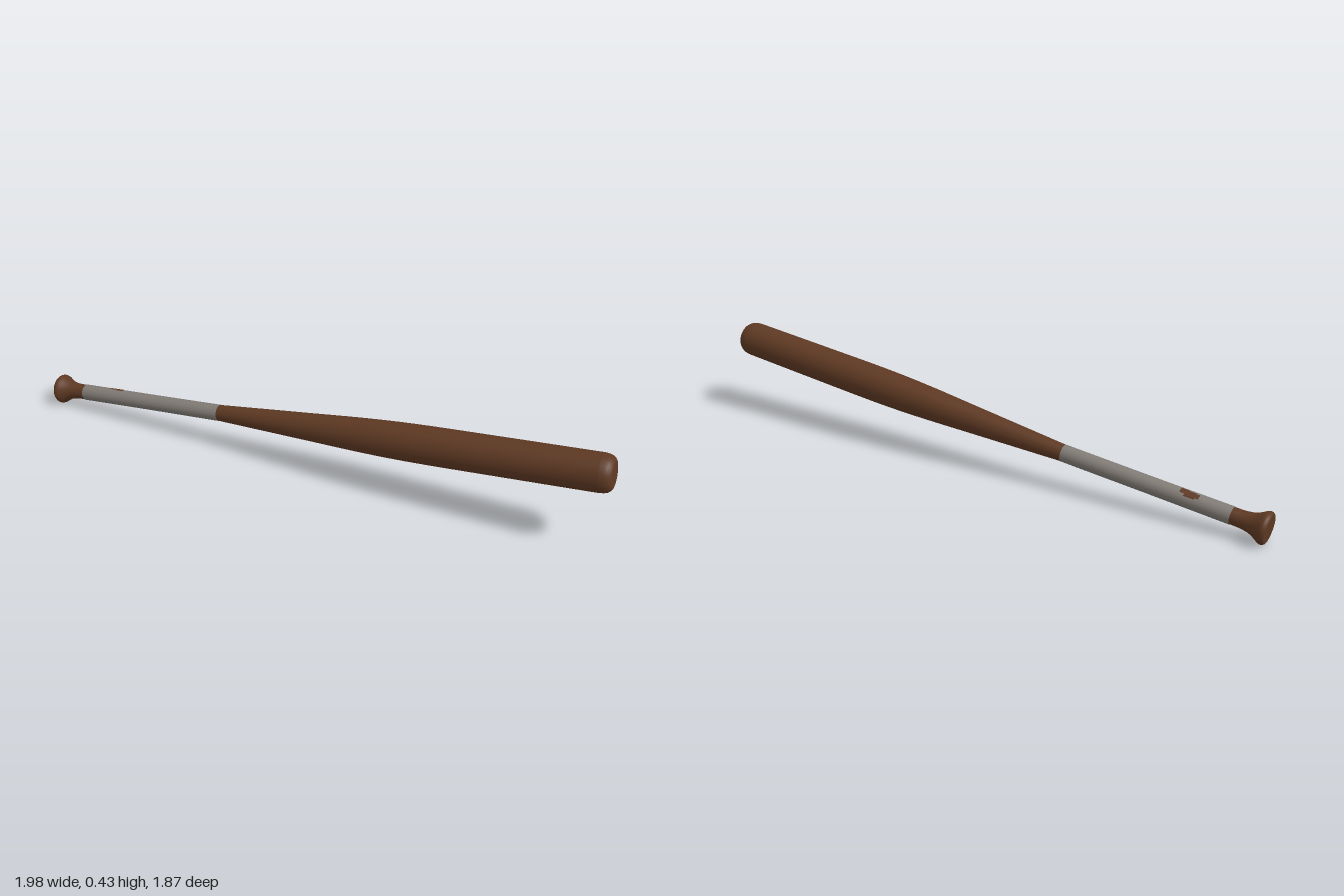
import * as THREE from 'three';

const SIDES = 40;

// Turned surface: pairs of [distance along the axis, radius]
function turned(name, profile, material, phiStart = 0, phiLength = Math.PI * 2) {
  const points = profile.map(([s, r]) => new THREE.Vector2(r, s));
  const sides = Math.max(6, Math.round(SIDES * phiLength / (Math.PI * 2)));
  const mesh = new THREE.Mesh(new THREE.LatheGeometry(points, sides, phiStart, phiLength), material);
  mesh.name = name;
  return mesh;
}

export function createModel() {
  const wood = new THREE.MeshStandardMaterial({ color: 0x5e3923 });
  wood.name = 'brown wood';
  const tape = new THREE.MeshStandardMaterial({ color: 0x827c76 });
  tape.name = 'grey tape';

  const bat = new THREE.Group();
  bat.name = 'bat';

  // Knob: flat base, thin rounded rim and a flare into the handle
  bat.add(turned('knob', [
    [0, 0], [0, 0.056], [0.002, 0.061], [0.009, 0.066], [0.018, 0.067], [0.027, 0.064],
    [0.038, 0.057], [0.055, 0.047], [0.075, 0.04], [0.1, 0.036], [0.12, 0.035],
  ], wood));

  // Handle core, running under the tape
  bat.add(turned('handle', [[0.12, 0.035], [0.16, 0.0345], [0.5, 0.0335], [0.87, 0.0345], [0.885, 0.0355]], wood));

  // Barrel: smooth swell, then a nearly straight body
  const swell = new THREE.SplineCurve([
    [0.885, 0.0355], [1.08, 0.046], [1.315, 0.0585], [1.59, 0.073], [1.83, 0.0795], [2.2, 0.0795], [2.575, 0.0785],
  ].map(([s, r]) => new THREE.Vector2(s, r))).getPoints(36).map((p) => [p.x, p.y]);
  bat.add(turned('barrel', swell, wood));

  // Rounded barrel end with a flat face
  bat.add(turned('barrelEnd', [
    [2.575, 0.0785], [2.592, 0.0765], [2.606, 0.072], [2.616, 0.065], [2.621, 0.057], [2.623, 0.05], [2.623, 0],
  ], wood));

  // Tape sleeve around the grip
  bat.add(turned('gripTape', [
    [0.15, 0.033], [0.15, 0.0365], [0.5, 0.0358], [0.885, 0.0365], [0.885, 0.034],
  ], tape));

  // Worn patch where the wood shows through: uneven strips [start, end, from angle, to angle]
  const worn = [[0.285, 0.318, -42, -8], [0.3, 0.345, -52, -2], [0.33, 0.365, -36, 4]];
  worn.forEach(([s0, s1, a0, a1], i) => {
    const r = 0.0368 + i * 0.0001;
    bat.add(turned('wornPatch', [[s0, r], [s1, r]], wood,
      THREE.MathUtils.degToRad(a0), THREE.MathUtils.degToRad(a1 - a0)));
  });

  // Lay the axis from knob to barrel end, with local z turned upwards
  const start = new THREE.Vector3(-0.953, 0.068, -0.895);
  const axis = new THREE.Vector3(0.95, 0.357, 0.885).sub(start).normalize();
  const side = new THREE.Vector3().crossVectors(axis, new THREE.Vector3(0, 1, 0)).normalize();
  const up = new THREE.Vector3().crossVectors(side, axis);
  bat.quaternion.setFromRotationMatrix(new THREE.Matrix4().makeBasis(side, axis, up));
  bat.position.copy(start);

  const model = new THREE.Group();
  model.name = 'model';
  model.add(bat);
  return model;
}
